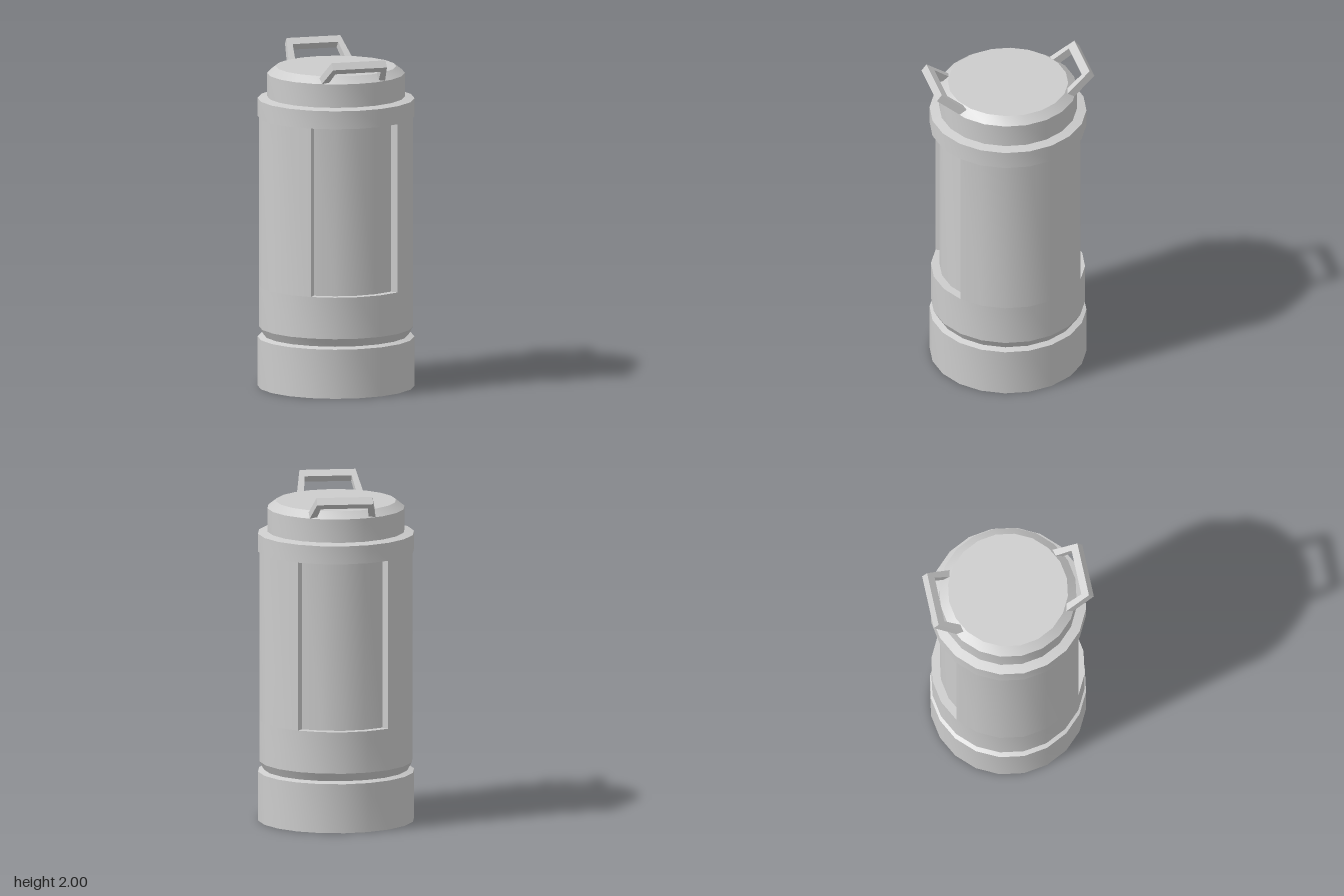
import * as THREE from 'three';
import { toCreasedNormals } from 'three/addons/utils/BufferGeometryUtils.js';

const SIDES = 20;
const CREASE = 0.42; // smooth around the barrel, sharp at the rims

export function createModel() {
  const group = new THREE.Group();
  const grey = new THREE.MeshStandardMaterial({ color: 0xcccccc });
  grey.name = 'grey metal';

  const add = (name, geometry, parent = group) => {
    const mesh = new THREE.Mesh(geometry, grey);
    mesh.name = name;
    parent.add(mesh);
    return mesh;
  };
  const lathe = (points) => toCreasedNormals(
    new THREE.LatheGeometry(points.map(([r, y]) => new THREE.Vector2(r, y)), SIDES), CREASE);

  // Foot, groove and the lower barrel, ending in the ledge under the recesses
  add('base', lathe([[0, 0], [0.46, 0], [0.46, 0.292], [0.425, 0.304],
    [0.452, 0.353], [0.452, 0.6], [0.395, 0.6]]));

  // Barrel cross-section with a recess at the front and the back
  const outline = [];
  const point = (k, r) => {
    const a = (k / SIDES) * Math.PI * 2;
    outline.push(new THREE.Vector2(r * Math.cos(a), r * Math.sin(a)));
  };
  const outer = 0.452, inner = 0.402;
  for (let k = 0; k < SIDES; k++) {
    const step = k % 10;
    if (step === 3) { point(k, outer); point(k, inner); }
    else if (step === 7) { point(k, inner); point(k, outer); }
    else point(k, step > 3 && step < 7 ? inner : outer);
  }
  const barrel = new THREE.ExtrudeGeometry(new THREE.Shape(outline), { depth: 1.003, bevelEnabled: false });
  barrel.rotateX(-Math.PI / 2).translate(0, 0.6, 0);
  add('barrel', toCreasedNormals(barrel, CREASE));

  // Collar and lid
  add('collar', lathe([[0.39, 1.603], [0.46, 1.603], [0.46, 1.71], [0.4, 1.722]]));
  add('lid', lathe([[0.404, 1.715], [0.404, 1.86], [0.353, 1.9], [0, 1.9]]));

  // Two tilted bail handles: a tapered U laid flat, its tip at the origin
  const shape = new THREE.Shape([
    [-0.165, 0], [-0.197, -0.187], [-0.155, -0.187], [-0.139, -0.051],
    [0.139, -0.051], [0.155, -0.187], [0.197, -0.187], [0.165, 0],
  ].map(([x, y]) => new THREE.Vector2(x, y)));
  const handle = new THREE.ExtrudeGeometry(shape, { depth: 0.048, bevelEnabled: false });
  // Outline runs outward and up; thickness runs outward and down
  handle.rotateX(THREE.MathUtils.degToRad(52)).translate(0, 2, 0.45);
  for (const [name, turn] of [['frontHandle', 0], ['backHandle', Math.PI]]) {
    add(name, handle).rotation.y = turn;
  }
  return group;
}
